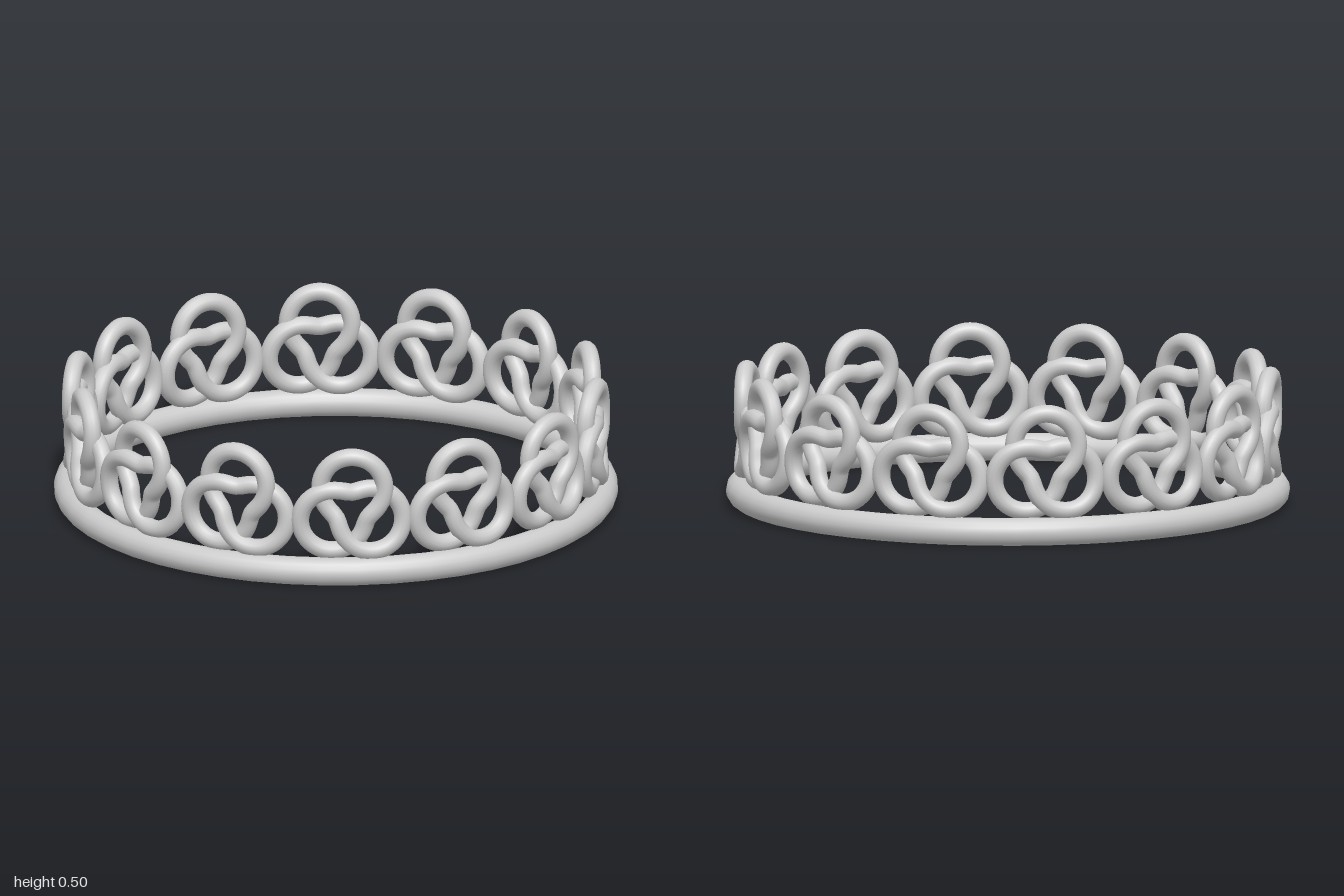
import * as THREE from 'three';

const MOTIFS = 14;
const BAND_R = 0.93;   // radius of the cylinder the knots are bent around
const CENTRE_Y = 0.274;
const SCALE = 0.065;
const TUBE = 0.032;

// Three-lobed knot, one lobe up, wrapped around the crown's cylinder
class TrefoilCurve extends THREE.Curve {
  getPoint(t, target = new THREE.Vector3()) {
    const a = t * Math.PI * 2;
    const r = SCALE * (2 + Math.cos(3 * a));
    const u = r * Math.sin(2 * a);
    const v = r * Math.cos(2 * a);
    const radius = BAND_R + 0.01 * Math.sin(3 * a);
    const angle = u / BAND_R;
    return target.set(radius * Math.sin(angle), CENTRE_Y + v, radius * Math.cos(angle));
  }
}

export function createModel() {
  const crown = new THREE.Group();
  crown.name = 'crown';
  const material = new THREE.MeshStandardMaterial({ color: 0xcccccc });

  // Base ring
  const ringGeometry = new THREE.TorusGeometry(0.95, 0.05, 16, 48);
  ringGeometry.rotateX(Math.PI / 2);
  ringGeometry.translate(0, 0.05, 0);
  const ring = new THREE.Mesh(ringGeometry, material);
  ring.name = 'baseRing';
  crown.add(ring);

  // Row of knots standing on the ring
  const knotGeometry = new THREE.TubeGeometry(new TrefoilCurve(), 120, TUBE, 12, true);
  for (let i = 0; i < MOTIFS; i++) {
    const knot = new THREE.Mesh(knotGeometry, material);
    knot.name = `knot${i + 1}`;
    knot.rotation.y = ((i + 0.5) / MOTIFS) * Math.PI * 2;
    crown.add(knot);
  }
  return crown;
}
